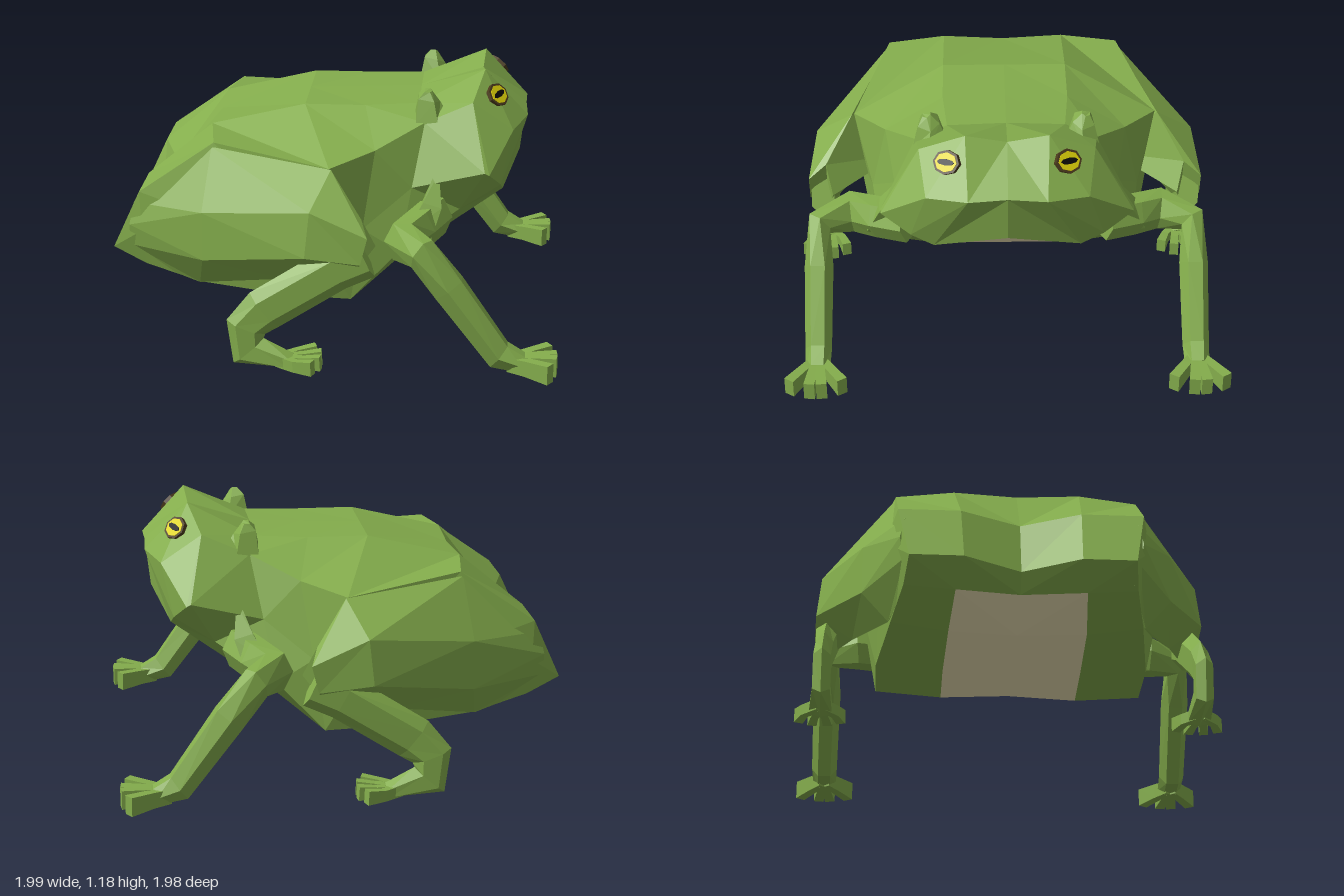
import * as THREE from 'three';

const mat = (color) => new THREE.MeshStandardMaterial({ color, flatShading: true });
const V = (p) => new THREE.Vector3(...p);

function geometryFrom(tris) {
  const g = new THREE.BufferGeometry();
  g.setAttribute('position', new THREE.Float32BufferAttribute(tris.flat(2), 3));
  g.computeVertexNormals();
  return g;
}

const quad = (a, b, c, d) => [[a, b, c], [a, c, d]];

// Skin over closed rings, capped at both ends
function loft(rings) {
  const tris = [];
  const n = rings[0].length;
  for (let i = 0; i + 1 < rings.length; i++) {
    for (let j = 0; j < n; j++) {
      const k = (j + 1) % n;
      tris.push(...quad(rings[i][j], rings[i][k], rings[i + 1][k], rings[i + 1][j]));
    }
  }
  const a = rings[0], z = rings[rings.length - 1];
  for (let j = 1; j + 1 < n; j++) tris.push([a[0], a[j + 1], a[j]], [z[0], z[j], z[j + 1]]);
  return geometryFrom(tris);
}

// Tapered limb along a path; each stop is [x, y, z, radius along ref, radius across]
function limb(stops, ref, sides = 6) {
  const pts = stops.map((s) => V(s.slice(0, 3)));
  return loft(pts.map((p, i) => {
    const t = new THREE.Vector3();
    if (i > 0) t.add(p.clone().sub(pts[i - 1]).normalize());
    if (i + 1 < pts.length) t.add(pts[i + 1].clone().sub(p).normalize());
    t.normalize();
    const u = V(ref).addScaledVector(t, -V(ref).dot(t)).normalize();
    const v = t.clone().cross(u);
    return Array.from({ length: sides }, (_, k) => {
      const a = ((k + 0.5) / sides) * Math.PI * 2;
      return p.clone().addScaledVector(u, Math.cos(a) * stops[i][3])
        .addScaledVector(v, Math.sin(a) * stops[i][4]).toArray();
    });
  }));
}

// Mirror a geometry across the middle plane, keeping faces outward
function mirrored(geo) {
  const g = geo.index ? geo.toNonIndexed() : geo.clone();
  const p = g.attributes.position;
  for (let i = 0; i < p.count; i += 3) {
    const [a, b, c] = [0, 1, 2].map((k) => [p.getX(i + k), p.getY(i + k), -p.getZ(i + k)]);
    p.setXYZ(i, ...a);
    p.setXYZ(i + 1, ...c);
    p.setXYZ(i + 2, ...b);
  }
  g.computeVertexNormals();
  return g;
}

// Half body sections, each from the back ridge round to the belly midline
const rump = [
  [[-.86, .4, 0], [-1, .4, .25], [-1, .4, .48], [-1, .4, .48], [-1, .4, .48], [-1, .4, .25], [-.86, .4, 0]],
  [[-.78, .66, 0], [-.87, .68, .26], [-.87, .68, .53], [-.86, .5, .54], [-.85, .33, .5], [-.88, .3, .28], [-.8, .32, 0]],
  [[-.56, .92, 0], [-.57, .93, .28], [-.53, .92, .54], [-.57, .6, .6], [-.6, .27, .55], [-.62, .225, .3], [-.58, .23, 0]],
];
const trunk = [
  [[-.15, 1.03, 0], [-.15, 1.03, .28], [-.01, .86, .69], [-.1, .55, .68], [-.2, .24, .61], [-.2, .215, .31], [-.2, .22, 0]],
  [[.12, 1.04, 0], [.12, 1.03, .28], [.18, .9, .54], [.13, .56, .61], [.08, .23, .61], [.05, .195, .31], [.05, .21, 0]],
  [[.36, 1.05, 0], [.36, 1.04, .26], [.39, .99, .4], [.34, .72, .5], [.29, .45, .58], [.3, .35, .33], [.3, .36, 0]],
];
const head = [
  [[.64, 1.14, 0], [.65, 1.18, .18], [.6, 1.08, .38], [.66, .81, .55], [.55, .6, .42], [.5, .5, .34], [.5, .5, 0]],
  [[.84, .98, 0], [.845, .97, .17], [.78, .95, .35], [.68, .8, .55], [.73, .72, .42], [.74, .67, .32], [.815, .76, 0]],
];

function bodyHalf() {
  const rows = [...rump, ...trunk, ...head];
  const skin = [], belly = [];
  for (let i = 0; i + 1 < rows.length; i++) {
    for (let j = 0; j < 6; j++) {
      const part = j === 5 && i > 0 ? belly : skin;
      part.push(...quad(rows[i][j], rows[i][j + 1], rows[i + 1][j + 1], rows[i + 1][j]));
    }
  }
  // Front of the muzzle, lip down to chin
  const m = rows[rows.length - 1];
  skin.push(...quad(m[0], m[1], m[5], m[6]), ...quad(m[1], m[2], m[4], m[5]), [m[2], m[3], m[4]]);
  return { skin: geometryFrom(skin), belly: geometryFrom(belly) };
}

export function createModel() {
  const root = new THREE.Group();
  const green = mat(0x84ad4c), tan = mat(0xeee2b4);
  const rimMat = mat(0x4a3a1c), yellow = mat(0xe0d408), black = mat(0x0c0c08);
  const UP = [0, 1, 0], SIDE = [0, 0, 1];

  // Each part is made for the +z side and mirrored to the other
  const pair = (name, geo, material) => {
    for (const [side, g] of [['right', geo], ['left', mirrored(geo)]]) {
      const mesh = new THREE.Mesh(g, material);
      mesh.name = side + name;
      root.add(mesh);
    }
  };

  const { skin, belly } = bodyHalf();
  pair('Body', skin, green);
  pair('Belly', belly, tan);

  // Folded hind leg: thigh, then shin back to the ankle
  pair('Thigh', loft([
    [[-.9, .62, .5], [-.92, .52, .52], [-.92, .42, .5], [-.88, .34, .48], [-.86, .48, .4]],
    [[-.54, .9, .54], [-.57, .64, .68], [-.57, .42, .68], [-.6, .27, .56], [-.5, .6, .4]],
    [[0, .86, .7], [-.08, .72, .87], [-.1, .52, .89], [-.2, .36, .72], [-.05, .6, .5]],
    [[.14, .68, .82], [.17, .62, .9], [.14, .5, .9], [.1, .42, .82], [.2, .55, .79]],
  ]), green);
  pair('Shin', limb([
    [.16, .52, .84, .06, .1], [.03, .46, .84, .06, .1], [-.28, .26, .84, .045, .1],
    [-.36, .18, .845, .045, .09], [-.35, .07, .845, .045, .09], [-.16, .03, .85, .06, .035],
  ], SIDE), green);
  for (const [x, z] of [[-.06, .76], [-.03, .82], [-.03, .89], [-.06, .95]]) {
    pair('HindToe', limb([
      [-.22, .03, .85, .035, .03], [x - .08, .035, z * .7 + .255, .035, .025], [x, .04, z, .045, .03],
    ], UP, 4), green);
  }

  // Foreleg: shoulder out to the elbow, then down to the hand
  pair('Foreleg', limb([
    [.45, .58, .44, .1, .08], [.38, .56, .58, .1, .08], [.31, .54, .7, .1, .08], [.4, .54, .84, .08, .06],
    [.52, .39, .845, .08, .065], [.74, .09, .85, .07, .06], [.84, .055, .85, .045, .055],
  ], UP), green);
  pair('ShoulderFold', limb([
    [.45, .79, .48, .012, .012], [.43, .65, .52, .07, .06], [.37, .52, .56, .1, .08],
  ], SIDE, 4), green);
  for (const [x, z] of [[.96, .735], [.99, .825], [.99, .88], [.96, .97]]) {
    pair('Finger', limb([
      [.79, .05, .85, .045, .04], [.86, .055, .85 + (z - .85) * .45, .05, .03],
      [x, .055, z, .06, .034],
    ], UP, 4), green);
  }

  // Raised wedge behind each eye, five corners wide at its base
  pair('HeadBump', loft([
    [[.34, 1.0, .28], [.44, 1.0, .25], [.5, 1.0, .34], [.45, .98, .41], [.35, .98, .4]],
    [[.36, 1.1, .3], [.42, 1.09, .29], [.455, 1.07, .33], [.43, 1.08, .385], [.36, 1.09, .375]],
    [[.39, 1.13, .33], [.41, 1.13, .33], [.42, 1.12, .345], [.41, 1.12, .365], [.385, 1.12, .365]],
  ].map((ring) => ring.reverse())), green);

  // Eye discs lying on the slanted brow: rim, iris, slit pupil
  const normal = new THREE.Vector3(.66, .59, .46).normalize();
  const turn = new THREE.Quaternion().setFromRotationMatrix(
    new THREE.Matrix4().lookAt(normal, new THREE.Vector3(), V(UP)));
  const disc = (rx, ry, depth, tilt) => new THREE.CylinderGeometry(1, 1, depth, 8)
    .rotateX(Math.PI / 2).scale(rx, ry, 1).rotateZ(tilt)
    .applyQuaternion(turn).translate(.703, 1.08, .255);
  pair('EyeRim', disc(.064, .054, .028, .2), rimMat);
  pair('Iris', disc(.053, .043, .033, .2), yellow);
  pair('Pupil', disc(.042, .014, .038, .2), black);

  return root;
}
